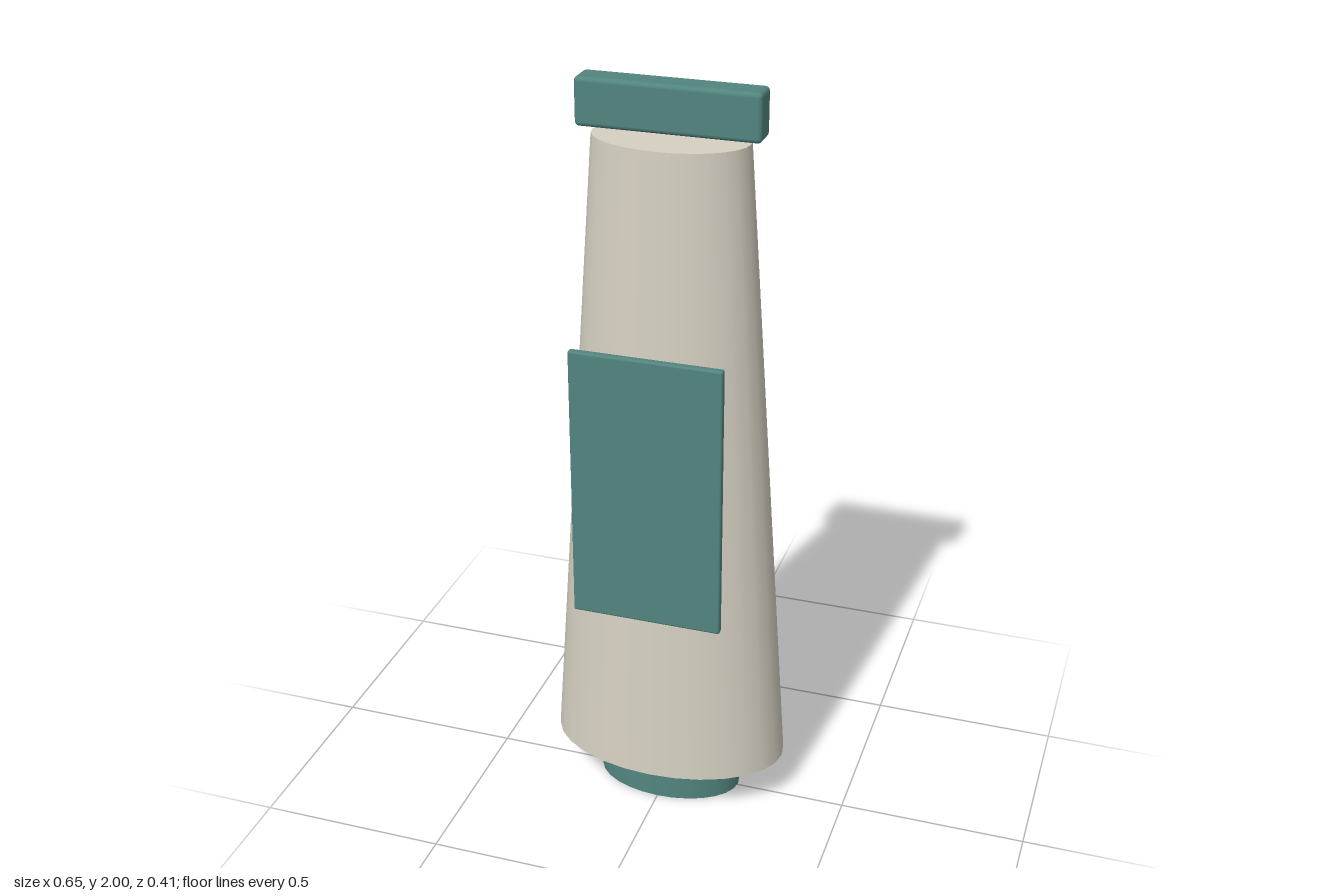
import * as THREE from 'three';
import { RoundedBoxGeometry } from 'three/addons/geometries/RoundedBoxGeometry.js';

export function createModel() {
  const group = new THREE.Group();
  const stone = new THREE.MeshStandardMaterial({ name: 'warm stone', color: 0xd6d0c2 });
  const teal = new THREE.MeshStandardMaterial({ name: 'teal', color: 0x52857f });
  const axisZ = -0.007;
  const depthRatio = 0.618;

  // Oval tapered column between two heights
  function oval(name, topRadius, bottomRadius, y0, y1, material) {
    const geometry = new THREE.CylinderGeometry(topRadius, bottomRadius, y1 - y0, 28);
    geometry.scale(1, 1, depthRatio);
    const mesh = new THREE.Mesh(geometry, material);
    mesh.position.set(0, (y0 + y1) / 2, axisZ);
    mesh.name = name;
    group.add(mesh);
  }

  // Box with softened edges, given by its centre
  function slab(name, size, centre, radius) {
    const mesh = new THREE.Mesh(new RoundedBoxGeometry(...size, 2, radius), teal);
    mesh.position.set(...centre);
    mesh.name = name;
    group.add(mesh);
  }

  oval('foot', 0.199, 0.199, 0, 0.128, teal);
  oval('taperedBody', 0.199, 0.323, 0.128, 1.865, stone);
  slab('topBar', [0.466, 0.122, 0.077], [0, 1.939, axisZ], 0.012);
  slab('frontPanel', [0.397, 0.742, 0.022], [0, 0.997, 0.194], 0.006);

  return group;
}
